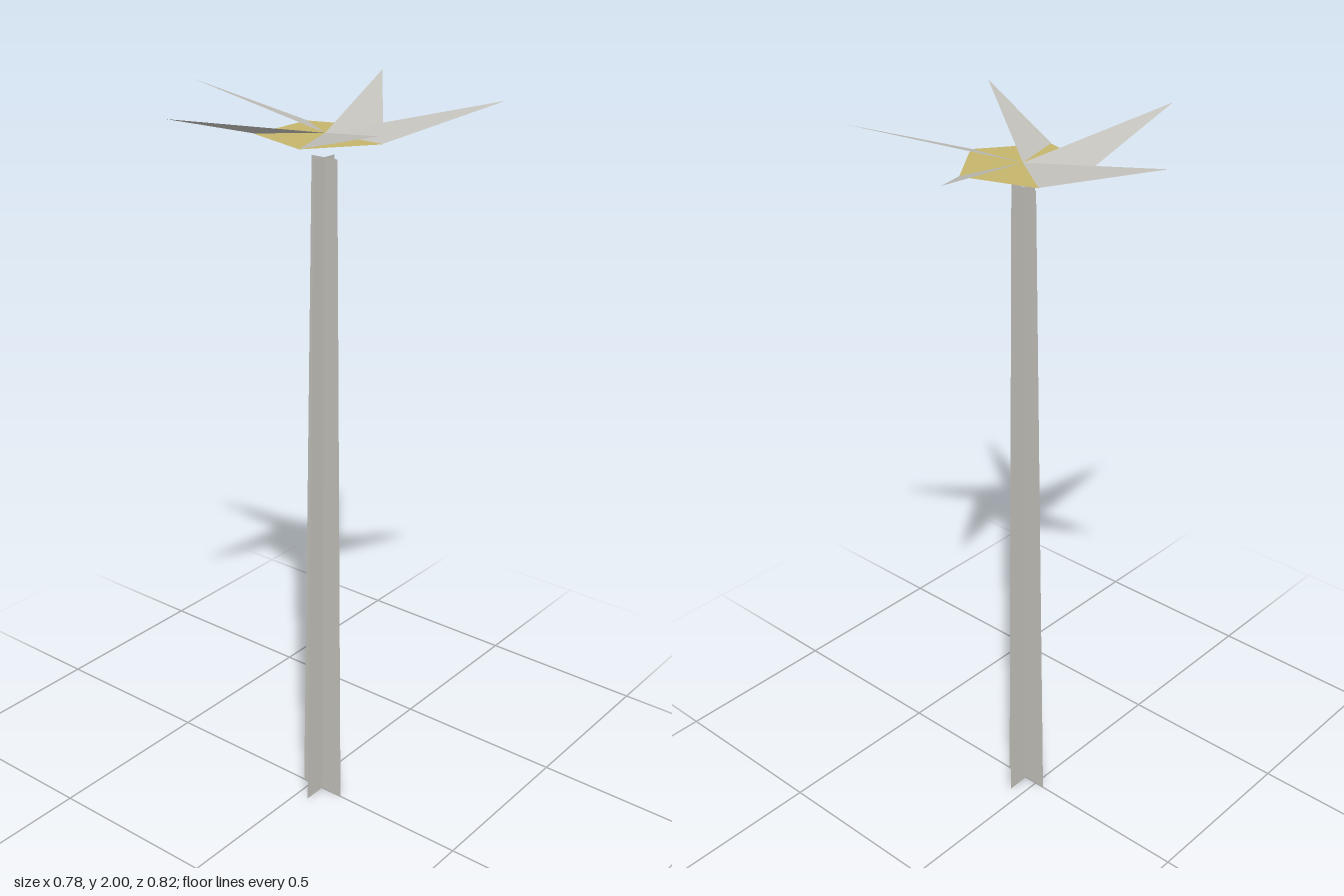
import * as THREE from 'three';

const CENTRE_X = 0.041;
const TOWER_HEIGHT = 1.86;
const HUB_Y = 1.915;
const HUB_RADIUS = 0.172;
const BLADE_RADIUS = 0.43;
const BLADES = 5;

function flat(name, color) {
  const material = new THREE.MeshStandardMaterial({ color, side: THREE.DoubleSide });
  material.name = name;
  return material;
}

function addMesh(parent, name, geometry, material) {
  const mesh = new THREE.Mesh(geometry, material);
  mesh.name = name;
  parent.add(mesh);
  return mesh;
}

// Triangle from the hub centre to a hub corner and the raised blade tip
function bladeGeometry() {
  const tip = Math.PI / BLADES;
  const geometry = new THREE.BufferGeometry();
  geometry.setAttribute('position', new THREE.Float32BufferAttribute([
    0, 0.004, 0,
    HUB_RADIUS, 0.001, 0,
    BLADE_RADIUS * Math.cos(tip), 2 - HUB_Y, -BLADE_RADIUS * Math.sin(tip),
  ], 3));
  geometry.computeVertexNormals();
  return geometry;
}

export function createModel() {
  const model = new THREE.Group();
  model.name = 'windmill';
  const grey = flat('pale grey', 0xc2c0ba);
  const yellow = flat('dull yellow', 0xc4b56c);

  // Tower: two tapered plates crossing at right angles
  const tower = new THREE.Group();
  tower.name = 'tower';
  tower.position.x = CENTRE_X - 0.002;
  model.add(tower);
  const plate = new THREE.ShapeGeometry(new THREE.Shape([
    new THREE.Vector2(-0.068, 0),
    new THREE.Vector2(0.068, 0),
    new THREE.Vector2(0.04, TOWER_HEIGHT),
    new THREE.Vector2(-0.04, TOWER_HEIGHT),
  ]));
  for (let i = 0; i < 2; i++) {
    addMesh(tower, 'towerPlate', plate, grey).rotation.y = i * Math.PI / 2;
  }

  // Rotor: flat five-sided hub with upturned blades
  const rotor = new THREE.Group();
  rotor.name = 'rotor';
  rotor.position.set(CENTRE_X, HUB_Y, 0);
  model.add(rotor);
  addMesh(rotor, 'hub', new THREE.CircleGeometry(HUB_RADIUS, BLADES).rotateX(-Math.PI / 2), yellow);
  const blade = bladeGeometry();
  for (let i = 0; i < BLADES; i++) {
    addMesh(rotor, 'blade', blade, grey).rotation.y = i * 2 * Math.PI / BLADES;
  }

  return model;
}
